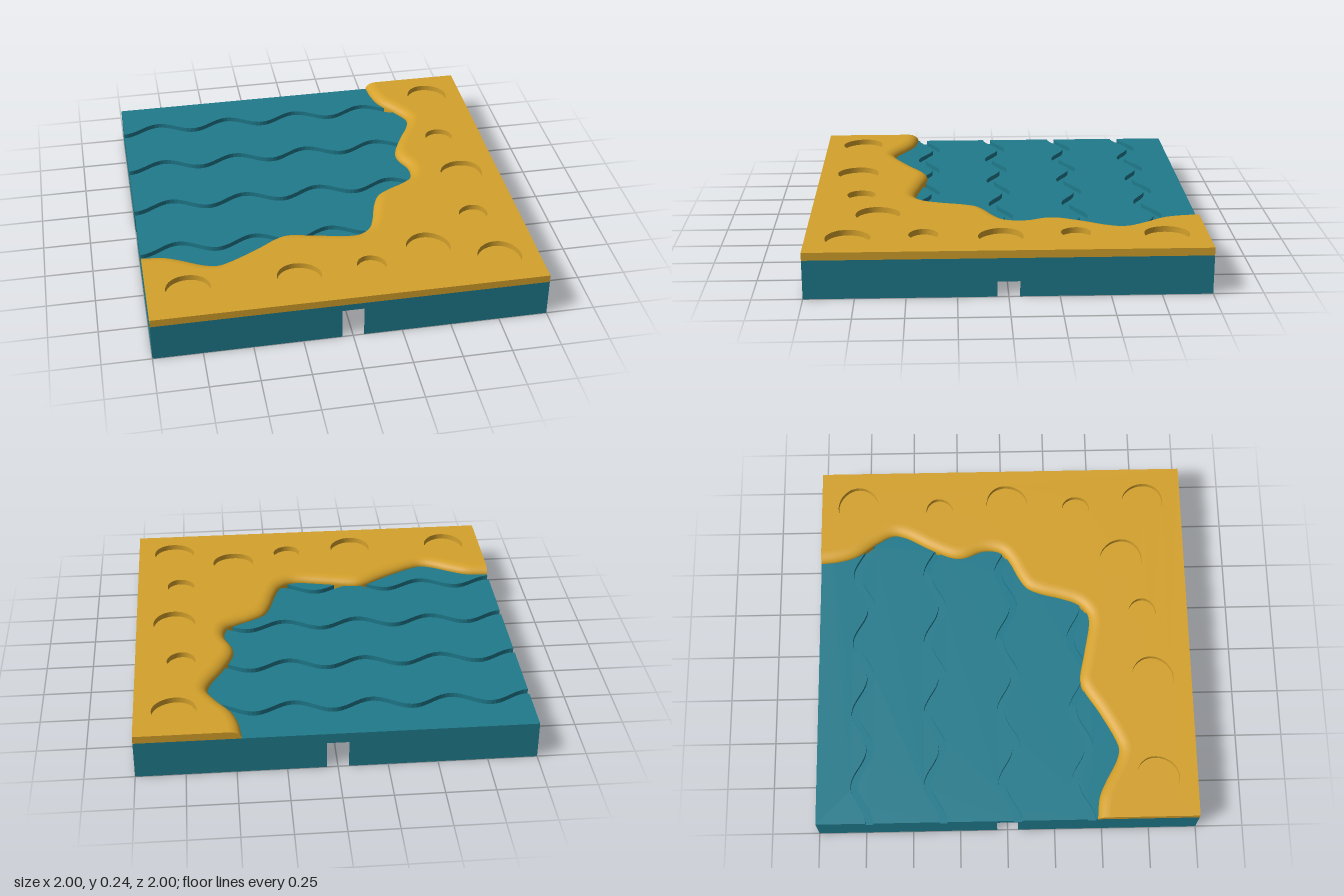
import * as THREE from 'three';

const BASE_TOP = 0.2, SAND_TOP = 0.24, CEILING = 0.165, GROOVE_FLOOR = 0.175, PIT_FLOOR = 0.21;
const water = new THREE.MeshStandardMaterial({ color: 0x1f7a8c });
const sand = new THREE.MeshStandardMaterial({ color: 0xd4a12b, side: THREE.DoubleSide });

// Shoreline between water and sand, as x, z pairs
const SHORE = [
  [0.47, -1], [0.48, -0.9], [0.51, -0.8], [0.585, -0.69], [0.63, -0.6], [0.615, -0.53],
  [0.545, -0.4], [0.49, -0.27], [0.49, -0.205], [0.525, -0.115], [0.53, -0.065], [0.51, 0],
  [0.45, 0.045], [0.37, 0.085], [0.305, 0.13], [0.27, 0.2], [0.235, 0.325], [0.2, 0.41],
  [0.14, 0.46], [0.085, 0.465], [-0.075, 0.435], [-0.235, 0.405], [-0.29, 0.42], [-0.42, 0.5],
  [-0.57, 0.58], [-0.625, 0.597], [-0.69, 0.58], [-0.8, 0.52], [-0.88, 0.485], [-1, 0.47],
];
// Pits in the sand: x, z, radius
const PITS = [
  [0.797, -0.795, 0.113], [0.76, -0.345, 0.075], [0.797, 0.03, 0.113], [0.76, 0.415, 0.075],
  [0.797, 0.79, 0.113], [0.455, 0.655, 0.115], [0.14, 0.755, 0.075], [-0.235, 0.79, 0.113],
  [-0.79, 0.79, 0.113],
];
// Wavy grooves: centre z and the x where they run under the shore
const GROOVES = [[-0.76, 0.57], [-0.375, 0.53], [0.015, 0.52], [0.4, 0.22]];

const V3 = (x, y, z) => new THREE.Vector3(x, y, z);
// Plan points (x, z) become shape points; flat() lays the shape on the ground plane
const plan = (pts) => pts.map(([x, z]) => new THREE.Vector2(x, -z));
const flat = (geo, y) => geo.rotateX(-Math.PI / 2).translate(0, y, 0);

function add(group, name, geometry, material) {
  const mesh = new THREE.Mesh(geometry, material);
  mesh.name = name;
  group.add(mesh);
}

// Surface through rows of points, each row above the last
function loft(rows) {
  const n = rows[0].length, index = [];
  for (let r = 0; r < rows.length - 1; r++) {
    for (let i = 0; i < n - 1; i++) {
      const a = r * n + i, b = a + n;
      index.push(a, a + 1, b + 1, a, b + 1, b);
    }
  }
  const geo = new THREE.BufferGeometry().setFromPoints(rows.flat());
  geo.setIndex(index);
  geo.computeVertexNormals();
  return geo;
}

function slab(pts, y0, y1) {
  const geo = new THREE.ExtrudeGeometry(new THREE.Shape(plan(pts)), { depth: y1 - y0, bevelEnabled: false });
  return flat(geo, y0);
}

function createBase() {
  const base = new THREE.Group();
  base.name = 'waterBase';

  // Lower slab with a dovetail socket in the middle of each side
  const side = [[-1, -1], [-0.055, -1], [-0.195, -0.805], [0.195, -0.805], [0.055, -1]];
  const outline = [];
  for (let k = 0; k < 4; k++) {
    const c = Math.round(Math.cos(k * Math.PI / 2)), s = Math.round(Math.sin(k * Math.PI / 2));
    side.forEach(([x, z]) => outline.push([x * c - z * s, x * s + z * c]));
  }
  add(base, 'socketSlab', slab(outline, 0, CEILING), water);

  // Thin deck closing the sockets and forming the groove floors
  const deck = new THREE.BoxGeometry(2, GROOVE_FLOOR - CEILING, 2);
  add(base, 'deck', deck.translate(0, (CEILING + GROOVE_FLOOR) / 2, 0), water);

  // Top layer, notched from its left edge by the wavy grooves
  const top = [[1, 1], [1, -1], [-1, -1]];
  for (const [z, end] of GROOVES) {
    const steps = 70;
    const wave = (i, off) => {
      const x = -1 + (end + 1) * i / steps;
      return [x, z + off - 0.04 * Math.cos(x * Math.PI * 5)];
    };
    for (let i = 0; i <= steps; i++) top.push(wave(i, -0.021));
    for (let i = steps; i >= 0; i--) top.push(wave(i, 0.021));
  }
  top.push([-1, 1]);
  add(base, 'wavySurface', slab(top, GROOVE_FLOOR, BASE_TOP), water);
  return base;
}

function createSand() {
  const group = new THREE.Group();
  group.name = 'sandLayer';

  // Shore samples with smoothed directions pointing into the sand
  const curve = new THREE.CatmullRomCurve3(SHORE.map(([x, z]) => V3(x, 0, z)));
  curve.arcLengthDivisions = 600;
  const N = 160, shore = curve.getSpacedPoints(N);
  const inward = shore.map((p, i) => {
    if (i === 0) return V3(1, 0, 0);
    if (i === N) return V3(0, 0, 1);
    const t = shore[Math.min(N, i + 4)].clone().sub(shore[Math.max(0, i - 4)]).normalize();
    return V3(t.z, 0, -t.x).negate().multiplyScalar(t.z * 1 - t.x * 1 >= 0 ? -1 : 1);
  });
  const row = (d, y) => shore.map((p, i) => {
    const q = p.clone().addScaledVector(inward[i], d);
    return V3(Math.max(-1, q.x), y, Math.max(-1, q.z));
  });

  // Rounded bank along the shore
  const rows = [row(0, GROOVE_FLOOR)];
  for (let k = 0; k <= 8; k++) {
    const t = k / 8 * Math.PI / 2;
    rows.push(row(0.06 * (1 - Math.cos(t)), BASE_TOP + (SAND_TOP - BASE_TOP) * Math.sin(t)));
  }
  add(group, 'shoreBank', loft(rows), sand);

  // Slightly uneven round pit outlines
  const pits = PITS.map(([x, z, r], k) => Array.from({ length: 49 }, (_, i) => {
    const a = i / 48 * Math.PI * 2, w = r * (1 + 0.02 * Math.cos(3 * a + k));
    return [x + w * Math.cos(a), z + w * Math.sin(a)];
  }));

  // Flat top with the pits cut out
  const crest = rows[rows.length - 1].map((p) => [p.x, p.z]);
  const topShape = new THREE.Shape(plan([...crest, [-1, 1], [1, 1], [1, -1]]));
  topShape.holes = pits.map((pts) => new THREE.Path(plan(pts.slice(0, -1))));
  add(group, 'sandTop', flat(new THREE.ShapeGeometry(topShape), SAND_TOP), sand);

  // Pit walls and floors
  pits.forEach((pts) => {
    const ring = (y) => pts.map(([x, z]) => V3(x, y, z));
    add(group, 'pitWall', loft([ring(PIT_FLOOR), ring(SAND_TOP)]), sand);
    const floor = new THREE.Shape(plan(pts.slice(0, -1)));
    add(group, 'pitFloor', flat(new THREE.ShapeGeometry(floor), PIT_FLOOR), sand);
  });

  // Outer walls, following the bank profile at both ends
  const banks = rows.slice(1);
  const rim = [
    ...banks.map((r) => r[N]), V3(-1, SAND_TOP, 1), V3(1, SAND_TOP, 1), V3(1, SAND_TOP, -1),
    ...banks.map((r) => r[0]).reverse(),
  ];
  const foot = rim.map((p) => V3(p.x, BASE_TOP, p.z));
  const walls = loft([foot, rim]).toNonIndexed();
  walls.computeVertexNormals();
  add(group, 'outerWalls', walls, sand);
  return group;
}

export function createModel() {
  const model = new THREE.Group();
  model.name = 'shoreTile';
  model.add(createBase(), createSand());
  return model;
}
